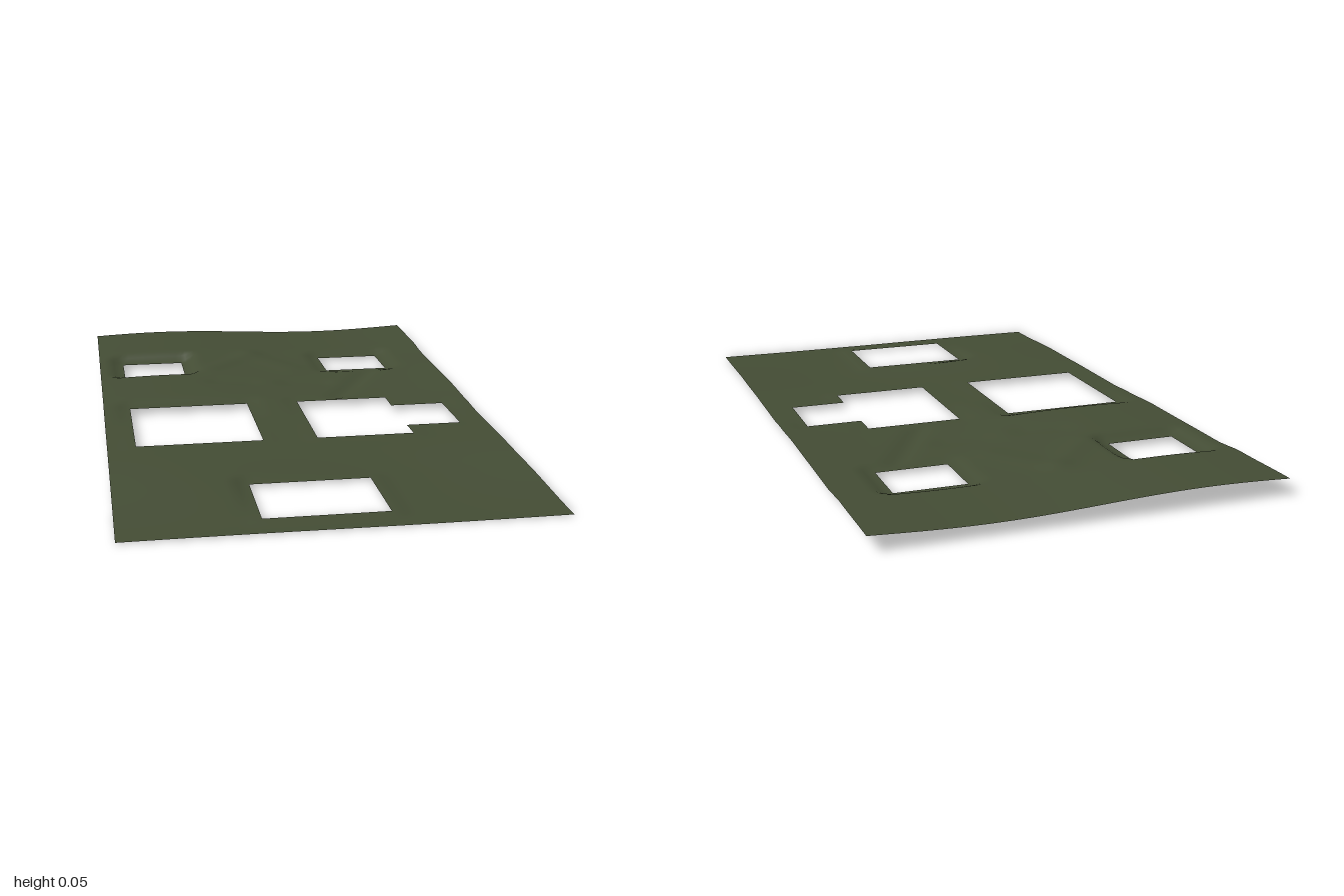
import * as THREE from 'three';

// Rectangular openings: x0, x1, z0, z1, level of the flattened ground around them
const openings = [
  [-0.52, -0.305, -0.655, -0.48, 0.02],
  [0.215, 0.435, -0.655, -0.48, 0.016],
  [-0.52, -0.13, -0.09, 0.30, 0.022],
  [0.04, 0.345, -0.09, 0.30, 0.021],
  [0.345, 0.52, 0, 0.215, 0.02],
  [-0.22, 0.13, 0.65, 0.91, 0.011],
];

// Lengthwise profile: z, mean height, size of the sideways wave
const profile = [
  [-1, 0.047, 0.0105], [-0.75, 0.043, 0.01], [-0.6, 0.034, 0.008], [-0.2, 0.031, 0.01],
  [0, 0.025, 0.004], [0.1, 0.021, 0.001], [0.35, 0.02, 0.002], [0.6, 0.015, 0.011], [1, 0.006, 0.001],
];

// Ridges and gullies: start x, z, end x, z, height, width
const creases = [
  [-0.05, -0.66, -0.22, -0.48, 0.006, 0.04],
  [-0.05, -0.66, 0.08, -0.48, 0.005, 0.05],
  [0.36, -0.44, 0.19, -0.13, -0.009, 0.035],
  [-0.2, -0.33, -0.1, -0.31, -0.005, 0.04],
  [0.05, -0.31, 0.16, -0.3, -0.005, 0.04],
];

function height(x, z) {
  const i = Math.max(0, Math.min(profile.length - 2, profile.findIndex((p) => p[0] >= z) - 1));
  const [a, b] = [profile[i], profile[i + 1]];
  const t = THREE.MathUtils.smoothstep(z, a[0], b[0]);
  const mean = a[1] + (b[1] - a[1]) * t;
  const wave = a[2] + (b[2] - a[2]) * t;
  let y = mean + wave * Math.cos(((x + 0.35) * Math.PI) / 0.62);

  for (const [x0, z0, x1, z1, h, w] of creases) {
    const dx = x1 - x0, dz = z1 - z0;
    const s = THREE.MathUtils.clamp(((x - x0) * dx + (z - z0) * dz) / (dx * dx + dz * dz), 0, 1);
    const d = Math.hypot(x - x0 - s * dx, z - z0 - s * dz);
    y += h * Math.exp(-((d / w) ** 2));
  }
  // Level the ground beside each opening
  for (const [x0, x1, z0, z1, level] of openings) {
    const d = Math.hypot(Math.max(x0 - x, x - x1, 0), Math.max(z0 - z, z - z1, 0));
    y += (level - y) * (1 - THREE.MathUtils.smoothstep(d, 0.01, 0.06));
  }
  return Math.max(y, 0);
}

// Grid lines at an even spacing that also pass through every opening's edges
function gridLines(half, edges, step) {
  const stops = [...new Set([-half, ...edges, half])].sort((a, b) => a - b);
  const lines = [-half];
  for (let i = 1; i < stops.length; i++) {
    const n = Math.ceil((stops[i] - stops[i - 1]) / step);
    for (let k = 1; k <= n; k++) lines.push(stops[i - 1] + ((stops[i] - stops[i - 1]) * k) / n);
  }
  return lines;
}

export function createModel() {
  const group = new THREE.Group();
  group.name = 'terrain';
  const grass = new THREE.MeshStandardMaterial({ color: 0x434c34, side: THREE.DoubleSide });
  grass.name = 'dark grass green';

  const xs = gridLines(0.607, openings.flatMap((o) => [o[0], o[1]]), 0.02);
  const zs = gridLines(1, openings.flatMap((o) => [o[2], o[3]]), 0.02);
  const positions = [], index = [];
  for (const z of zs) for (const x of xs) positions.push(x, height(x, z), z);

  // Faces, leaving out the openings
  const inside = (x, z) => openings.some((o) => x > o[0] && x < o[1] && z > o[2] && z < o[3]);
  for (let j = 0; j < zs.length - 1; j++) {
    for (let i = 0; i < xs.length - 1; i++) {
      if (inside((xs[i] + xs[i + 1]) / 2, (zs[j] + zs[j + 1]) / 2)) continue;
      const a = j * xs.length + i, b = a + 1, c = a + xs.length, d = c + 1;
      index.push(a, c, b, b, c, d);
    }
  }
  const geometry = new THREE.BufferGeometry();
  geometry.setAttribute('position', new THREE.Float32BufferAttribute(positions, 3));
  geometry.setIndex(index);
  geometry.computeVertexNormals();

  const ground = new THREE.Mesh(geometry, grass);
  ground.name = 'ground';
  group.add(ground);
  return group;
}
